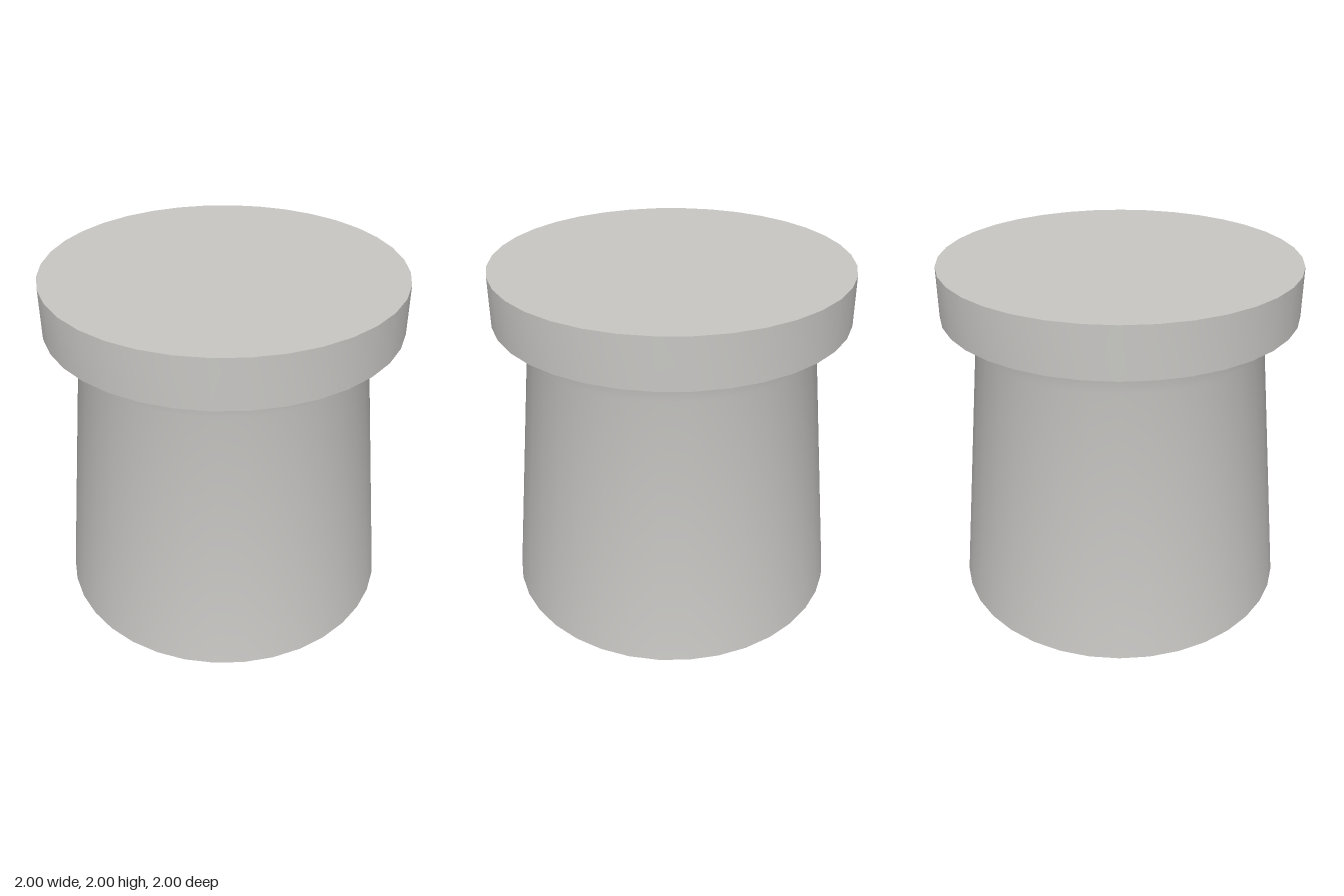
import * as THREE from 'three';
import { toCreasedNormals } from 'three/addons/utils/BufferGeometryUtils.js';

const SIDES = 36;

// Turned part from [radius, height] points, with hard edges kept sharp
function turned(name, points, material) {
  const profile = points.map(([r, y]) => new THREE.Vector2(r, y));
  const geometry = toCreasedNormals(new THREE.LatheGeometry(profile, SIDES), Math.PI / 6);
  const mesh = new THREE.Mesh(geometry, material);
  mesh.name = name;
  return mesh;
}

export function createModel() {
  const model = new THREE.Group();
  model.name = 'flangedPlug';

  const grey = new THREE.MeshStandardMaterial({ color: 0xc8c7c4, side: THREE.DoubleSide });
  grey.name = 'warm grey';

  // Hollow tapered body, open at the base, flaring out at the neck
  model.add(turned('body', [[0.978, 0], [0.818, 1.565], [0.857, 1.72]], grey));

  // Wide flat cap: underside ledge, rim and top
  model.add(turned('cap', [[0.857, 1.72], [1, 1.72], [1, 2], [0, 2]], grey));

  return model;
}
